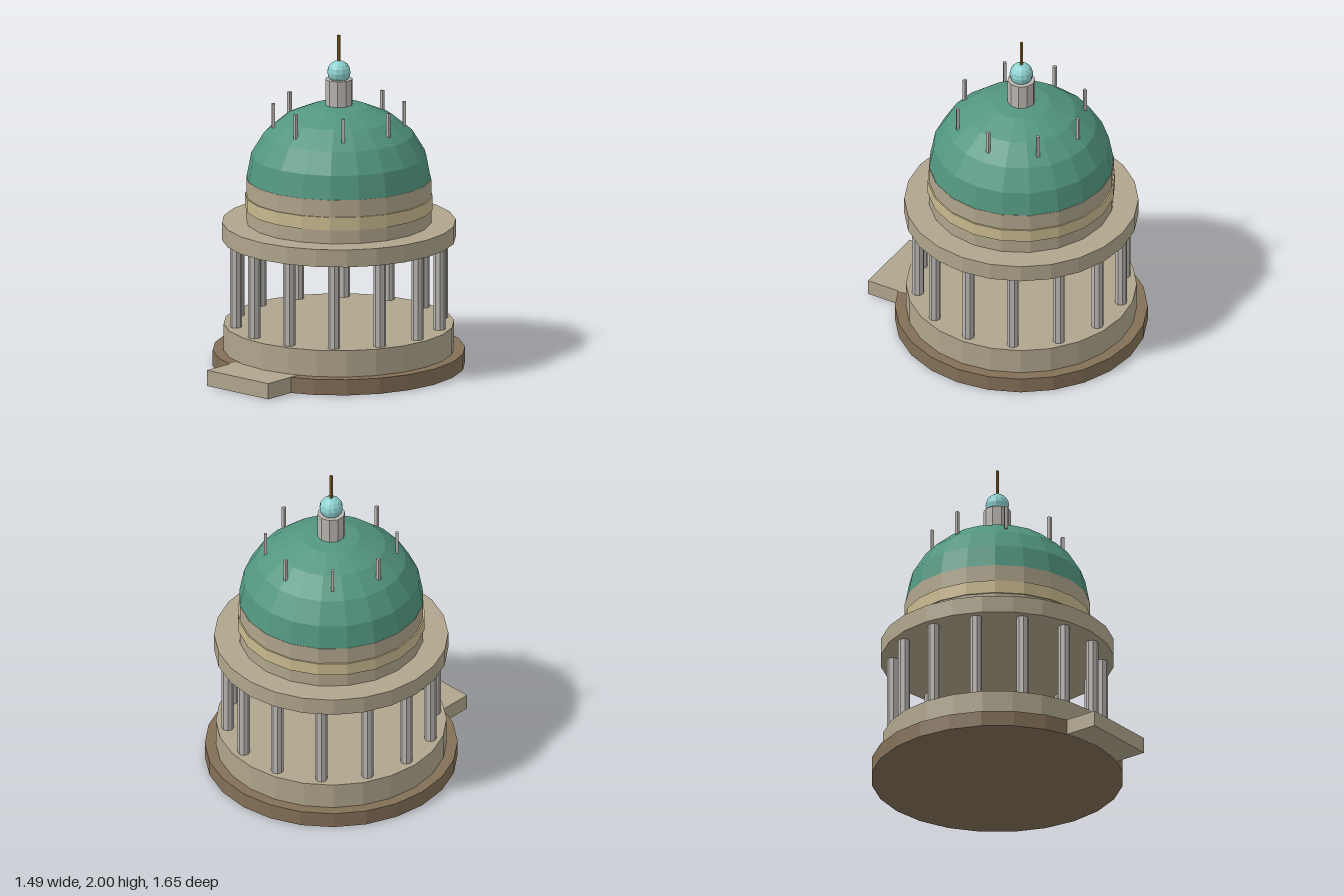
import * as THREE from 'three';

function flat(name, color) {
  const m = new THREE.MeshStandardMaterial({ color, flatShading: true });
  m.name = name;
  return m;
}

export function createModel() {
  const stone = flat('stone', 0xb0a58c);
  const earth = flat('brown base stone', 0x836f57);
  const cream = flat('cream band', 0xc8b98e);
  const marble = flat('grey marble', 0xbab6b1);
  const copper = flat('green copper', 0x52967f);
  const aqua = flat('aqua', 0x8dd2d0);
  const bronze = flat('bronze', 0x94702c);

  const model = new THREE.Group();
  const rotunda = new THREE.Group();
  rotunda.name = 'rotunda';
  rotunda.position.z = -0.08;
  model.add(rotunda);

  function add(name, geometry, material, x, y, z, parent = rotunda) {
    const mesh = new THREE.Mesh(geometry, material);
    mesh.name = name;
    mesh.position.set(x, y, z);
    parent.add(mesh);
    return mesh;
  }
  // Upright cylinder between two heights
  function drum(name, r, y0, y1, sides, material, x = 0, z = 0) {
    return add(name, new THREE.CylinderGeometry(r, r, y1 - y0, sides), material, x, (y0 + y1) / 2, z);
  }

  // Base, floor and entablature
  drum('base', 0.745, 0, 0.095, 24, earth);
  drum('floorPlinth', 0.68, 0.095, 0.255, 24, stone);
  drum('entablature', 0.69, 0.765, 0.87, 24, stone);

  // Entrance step
  add('entranceStep', new THREE.BoxGeometry(0.48, 0.095, 0.255), stone, 0, 0.0485, 0.6975, model);

  // Ring of columns
  for (let i = 0; i < 14; i++) {
    const a = ((i + 0.5) / 14) * Math.PI * 2;
    drum('column', 0.036, 0.255, 0.765, 8, marble, Math.sin(a) * 0.615, Math.cos(a) * 0.615);
  }

  // Drum and its band
  drum('drum', 0.547, 0.87, 1.135, 20, stone);
  drum('drumBand', 0.555, 0.953, 1.032, 20, cream);

  // Slightly flattened dome
  const domeGeometry = new THREE.SphereGeometry(0.545, 20, 5, 0, Math.PI * 2, 0, Math.PI / 2);
  domeGeometry.scale(1, 0.455 / 0.545, 1);
  add('dome', domeGeometry, copper, 0, 1.135, 0);

  // Thin posts standing on the dome
  for (let i = 0; i < 8; i++) {
    const a = (i / 8) * Math.PI * 2;
    const post = add('domePost', new THREE.BoxGeometry(0.019, 0.145, 0.019), marble,
      Math.sin(a) * 0.387, 1.5175, Math.cos(a) * 0.387);
    post.rotation.y = a;
  }

  // Lantern, ball and spire
  drum('lantern', 0.082, 1.56, 1.735, 10, marble);
  add('ball', new THREE.SphereGeometry(0.07, 12, 8), aqua, 0, 1.776, 0);
  drum('spire', 0.01, 1.82, 2, 6, bronze);

  return model;
}
